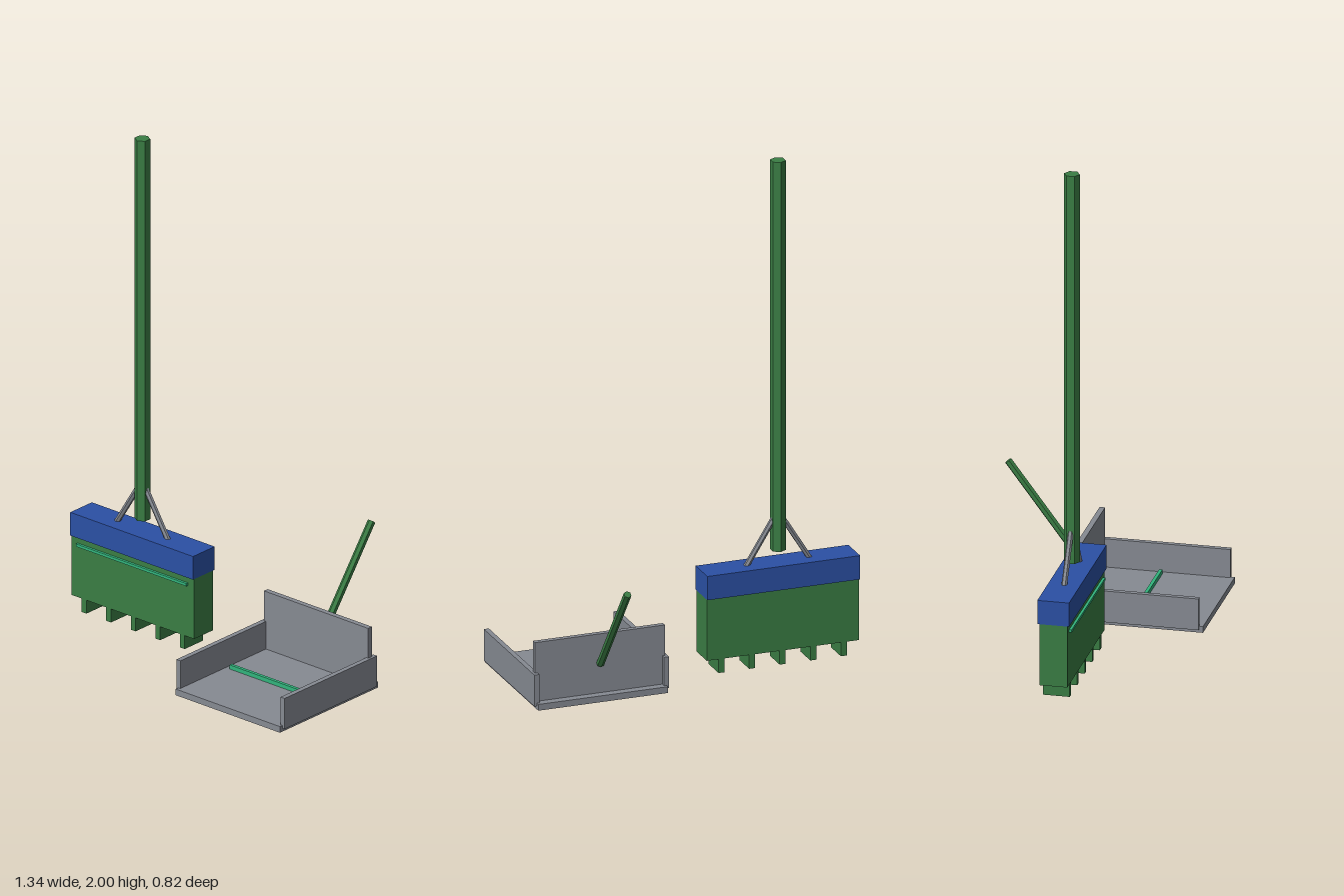
import * as THREE from 'three';

const mat = (name, color) => {
  const m = new THREE.MeshStandardMaterial({ color });
  m.name = name;
  m.flatShading = true;
  return m;
};

export function createModel() {
  const green = mat('green', 0x3a7d44);
  const blue = mat('blue', 0x2b50a4);
  const grey = mat('grey', 0x868a92);
  const teal = mat('teal', 0x32b47c);

  // Box given by its limits on each axis
  const box = (parent, name, material, [x0, x1], [y0, y1], [z0, z1]) => {
    const mesh = new THREE.Mesh(new THREE.BoxGeometry(x1 - x0, y1 - y0, z1 - z0), material);
    mesh.position.set((x0 + x1) / 2, (y0 + y1) / 2, (z0 + z1) / 2);
    mesh.name = name;
    parent.add(mesh);
  };

  // Six-sided rod between two points
  const rod = (parent, name, material, from, to, radius) => {
    const a = new THREE.Vector3(...from);
    const b = new THREE.Vector3(...to);
    const dir = b.clone().sub(a);
    const mesh = new THREE.Mesh(new THREE.CylinderGeometry(radius, radius, dir.length(), 6), material);
    mesh.position.copy(a).add(b).multiplyScalar(0.5);
    mesh.quaternion.setFromUnitVectors(new THREE.Vector3(0, 1, 0), dir.normalize());
    mesh.name = name;
    parent.add(mesh);
  };

  const model = new THREE.Group();
  model.name = 'broomAndDustpan';

  // Broom: head, bristle block, stitching and bristle tufts
  const broom = new THREE.Group();
  broom.name = 'broom';
  model.add(broom);
  const cx = -0.367, cz = 0.026;
  box(broom, 'broomHead', blue, [-0.673, -0.061], [0.305, 0.4], [-0.035, 0.087]);
  box(broom, 'bristleBlock', green, [-0.672, -0.062], [0.06, 0.305], [-0.026, 0.08]);
  box(broom, 'stitching', teal, [cx - 0.275, cx + 0.275], [0.27, 0.281], [0.079, 0.09]);
  for (let i = -2; i <= 2; i++) {
    const x = cx + i * 0.1225;
    box(broom, 'bristleTuft', green, [x - 0.012, x + 0.012], [0.004, 0.06], [-0.024, 0.078]);
  }

  // Broom pole and the two braces that hold it
  rod(broom, 'broomPole', green, [cx, 0.445, cz], [cx, 2, cz], 0.03);
  for (const s of [-1, 1]) {
    rod(broom, 'brace', grey, [cx + s * 0.13, 0.39, cz], [cx + s * 0.017, 0.572, cz], 0.011);
  }

  // Dustpan: floor, walls, strip and slanted handle
  const pan = new THREE.Group();
  pan.name = 'dustpan';
  model.add(pan);
  const px = 0.398;
  box(pan, 'panFloor', grey, [px - 0.26, px + 0.26], [0, 0.025], [-0.142, 0.41]);
  box(pan, 'backWall', grey, [px - 0.26, px + 0.26], [0.015, 0.26], [-0.109, -0.088]);
  for (const s of [-1, 1]) {
    const x = px + s * 0.26;
    box(pan, 'sideWall', grey, [x - 0.01, x + 0.01], [0.013, 0.138], [-0.127, 0.395]);
  }
  box(pan, 'panStrip', teal, [px - 0.23, px + 0.23], [0.025, 0.042], [0.126, 0.139]);
  rod(pan, 'panHandle', green, [px + 0.002, 0.143, -0.117], [px + 0.002, 0.519, -0.399], 0.015);

  return model;
}
